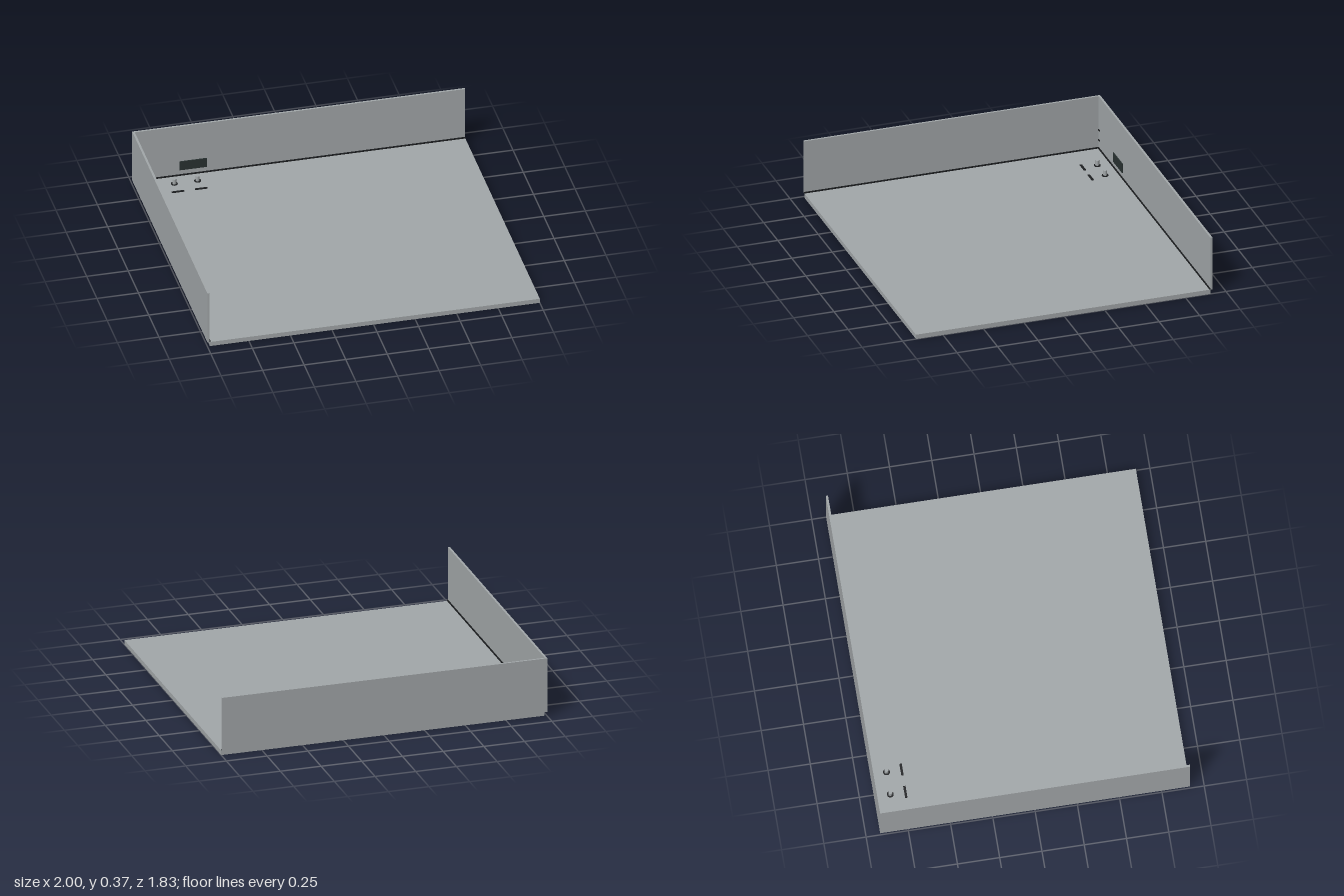
import * as THREE from 'three';

const mat = (name, color) => {
  const m = new THREE.MeshStandardMaterial({ color });
  m.name = name;
  return m;
};

export function createModel() {
  const model = new THREE.Group();
  model.name = 'shelteredCornerRoom';
  const grey = mat('pale grey', 0xa3a8aa);
  const black = mat('seal black', 0x1c1e20);
  const slate = mat('dark slate', 0x293232);

  // Box given by its lower and upper corners
  const box = (name, m, [x0, y0, z0], [x1, y1, z1], parent = model) => {
    const mesh = new THREE.Mesh(new THREE.BoxGeometry(x1 - x0, y1 - y0, z1 - z0), m);
    mesh.position.set((x0 + x1) / 2, (y0 + y1) / 2, (z0 + z1) / 2);
    mesh.name = name;
    parent.add(mesh);
    return mesh;
  };

  // Floor slab and the two walls, which overhang it slightly
  box('floor', grey, [-0.985, 0, -0.903], [1, 0.028, 0.917]);
  box('backWall', grey, [-1, 0.028, -0.917], [1, 0.365, -0.904]);
  box('sideWall', grey, [-1, 0.028, -0.904], [-0.987, 0.365, 0.917]);

  // Dark seal along the foot of both walls
  box('backSeal', black, [-0.987, 0.028, -0.904], [1, 0.036, -0.898]);
  box('sideSeal', black, [-0.987, 0.028, -0.898], [-0.981, 0.036, 0.917]);

  // Two pipe stubs with a floor collar and a slot in front of each
  for (const x of [-0.77, -0.63]) {
    const fitting = new THREE.Group();
    fitting.name = 'floorFitting';
    const collar = new THREE.Mesh(new THREE.CylinderGeometry(0.02, 0.02, 0.004, 24), black);
    collar.name = 'pipeCollar';
    collar.position.set(x, 0.03, -0.82);
    const pipe = new THREE.Mesh(new THREE.CylinderGeometry(0.012, 0.012, 0.035, 24), grey);
    pipe.name = 'pipeStub';
    pipe.position.set(x, 0.0465, -0.82);
    fitting.add(collar, pipe);
    box('floorSlot', black, [x - 0.037, 0.028, -0.738], [x + 0.037, 0.032, -0.724], fitting);
    model.add(fitting);
  }

  // Dark panel on the back wall with a narrow end strip
  box('wallPanel', slate, [-0.709, 0.066, -0.904], [-0.554, 0.125, -0.898]);
  box('panelEndStrip', slate, [-0.719, 0.066, -0.904], [-0.711, 0.125, -0.899]);

  // Small brackets near the corner
  for (const y of [0.085, 0.15]) {
    box('cornerBracket', black, [-0.985, y - 0.003, -0.904], [-0.965, y + 0.003, -0.899]);
  }
  return model;
}
